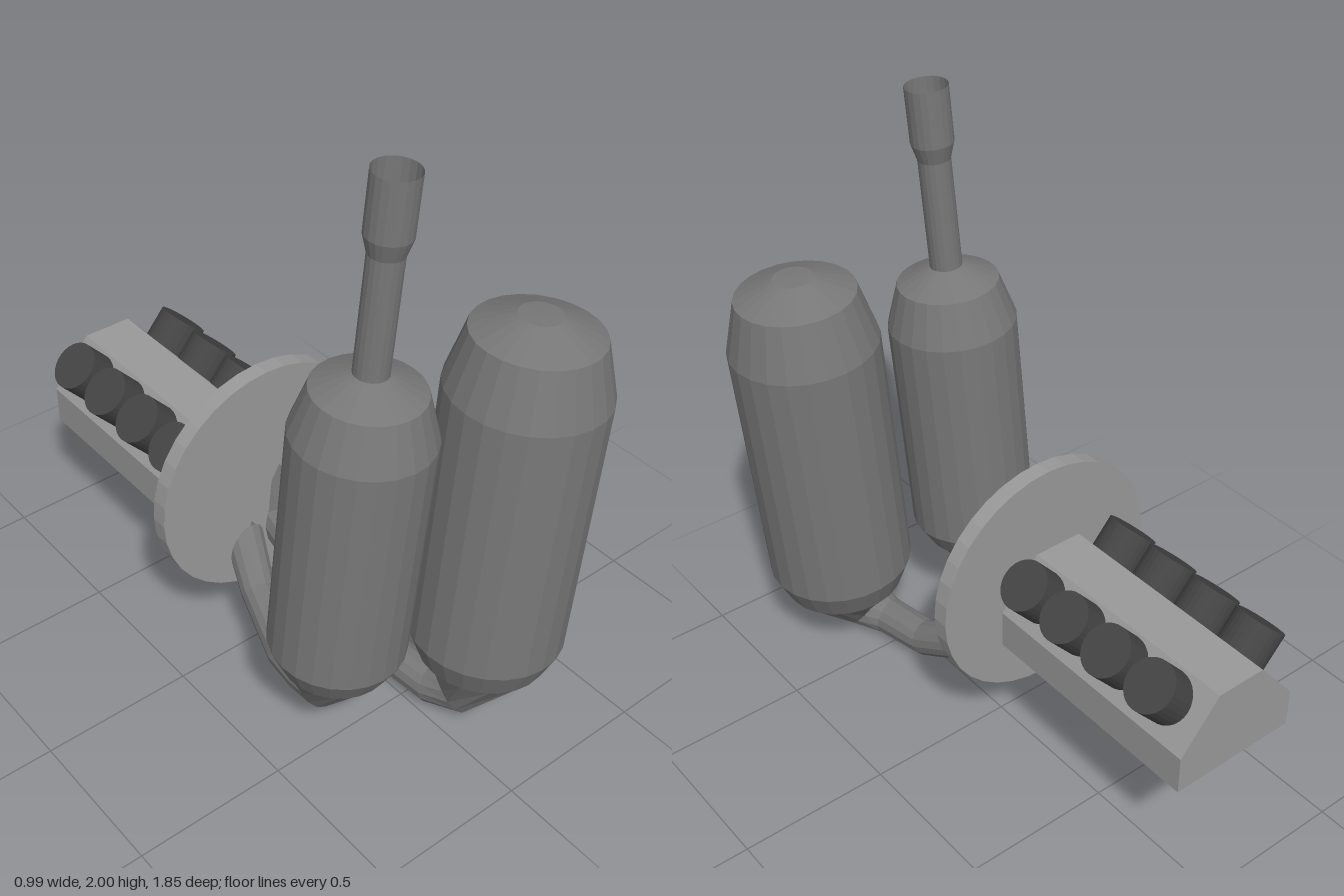
import * as THREE from 'three';

const V = (x, y, z) => new THREE.Vector3(x, y, z);
const UP = V(0, 1, 0);
const mat = (color) => new THREE.MeshStandardMaterial({ color, flatShading: true, side: THREE.DoubleSide });

function add(parent, name, geometry, material) {
  const mesh = new THREE.Mesh(geometry, material);
  mesh.name = name;
  parent.add(mesh);
  return mesh;
}

// Tube through [x, y, z, radius] stations, its rings carried along the bends
function pipeGeometry(stations, startDir, sides = 14) {
  const pts = stations.map(([x, y, z]) => V(x, y, z));
  const pos = [], index = [];
  const q = new THREE.Quaternion();
  let last = UP;
  pts.forEach((p, i) => {
    const into = i ? p.clone().sub(pts[i - 1]).normalize() : startDir.clone();
    const out = i < pts.length - 1 ? pts[i + 1].clone().sub(p).normalize() : into;
    const t = i ? into.add(out).normalize() : into;
    q.premultiply(new THREE.Quaternion().setFromUnitVectors(last, t));
    last = t;
    for (let j = 0; j < sides; j++) {
      const a = (j / sides) * Math.PI * 2, r = stations[i][3];
      pos.push(...V(Math.cos(a) * r, 0, Math.sin(a) * r).applyQuaternion(q).add(p));
      if (i) {
        const k = (j + 1) % sides, b = i * sides, c = b - sides;
        index.push(c + j, b + j, c + k, c + k, b + j, b + k);
      }
    }
  });
  const g = new THREE.BufferGeometry();
  g.setAttribute('position', new THREE.Float32BufferAttribute(pos, 3));
  g.setIndex(index);
  return g;
}

// Turned body whose axis leans along dir, starting at base
function leaningLathe(parent, name, profile, base, dir, material, sides) {
  const pts = profile.map(([r, y]) => new THREE.Vector2(r, y));
  const mesh = add(parent, name, new THREE.LatheGeometry(pts, sides), material);
  mesh.position.copy(base);
  mesh.quaternion.setFromUnitVectors(UP, dir);
}

export function createModel() {
  const model = new THREE.Group();
  const tankMat = mat(0x777777), plateMat = mat(0x999999), darkMat = mat(0x444444);

  // Large tank on the left with its funnel and pipe
  const bigDir = V(0.079, 1, 0.017).normalize();
  leaningLathe(model, 'largeTank',
    [[0, 0.24], [0.205, 0.24], [0.245, 0.335], [0.245, 1.22], [0.195, 1.4], [0.065, 1.455], [0, 1.458]],
    V(0.154, 0, 0.664), bigDir, tankMat, 24);
  add(model, 'largeTankPipe', pipeGeometry([
    [0.173, 0.24, 0.668, 0.203], [0.1, 0.085, 0.64, 0.085], [0.065, 0.066, 0.56, 0.066],
    [0.04, 0.08, 0.37, 0.063], [0.005, 0.19, 0.15, 0.062], [-0.015, 0.31, 0, 0.08],
    [-0.04, 0.43, -0.11, 0.085], [-0.06, 0.66, -0.14, 0.08],
  ], bigDir.clone().negate()), tankMat);

  // Small tank on the right with its funnel and pipe
  const smallDir = V(0.064, 1, 0.047).normalize();
  const smallBase = V(-0.301, 0, 0.481);
  leaningLathe(model, 'smallTank',
    [[0, 0.35], [0.17, 0.35], [0.211, 0.43], [0.211, 1.2], [0.165, 1.345], [0.05, 1.4], [0, 1.4]],
    smallBase, smallDir, tankMat, 24);
  add(model, 'smallTankPipe', pipeGeometry([
    [-0.279, 0.35, 0.497, 0.168], [-0.307, 0.225, 0.46, 0.075], [-0.31, 0.21, 0.39, 0.06],
    [-0.3, 0.21, 0.28, 0.057], [-0.225, 0.255, 0.05, 0.057],
    [-0.17, 0.4, -0.11, 0.065], [-0.15, 0.62, -0.14, 0.065],
  ], smallDir.clone().negate()), tankMat);

  // Open exhaust stack on the small tank
  leaningLathe(model, 'exhaustStack', [[0.052, 1.37], [0.052, 1.765], [0.068, 1.82], [0.068, 2.0]],
    smallBase, smallDir, tankMat, 20);

  // Round mounting plate
  const plate = add(model, 'mountingPlate', new THREE.CylinderGeometry(0.402, 0.402, 0.055, 36), plateMat);
  plate.rotation.x = Math.PI / 2;
  plate.position.set(-0.098, 0.602, -0.082);

  // Engine block with slanted shoulders
  const cx = -0.128;
  const section = new THREE.Shape([[-0.222, 0.425], [0.222, 0.425], [0.222, 0.555], [0.085, 0.72], [-0.085, 0.72], [-0.222, 0.555]]
    .map(([x, y]) => new THREE.Vector2(x, y)));
  const block = add(model, 'engineBlock',
    new THREE.ExtrudeGeometry(section, { depth: 0.8, bevelEnabled: false }), plateMat);
  block.position.set(cx, 0, -0.925);

  // Two banks of four cylinders
  const cylinders = new THREE.Group();
  cylinders.name = 'engineCylinders';
  model.add(cylinders);
  const barrel = new THREE.CylinderGeometry(0.083, 0.083, 0.2, 28);
  for (const s of [-1, 1]) {
    const dir = V(s * 0.66, 0.75, 0).normalize();
    for (let i = 0; i < 4; i++) {
      const c = add(cylinders, 'engineCylinder', barrel, darkMat);
      c.quaternion.setFromUnitVectors(UP, dir);
      c.position.set(cx + s * 0.222, 0.735, -0.228 - i * 0.185).addScaledVector(dir, -0.1);
    }
  }
  return model;
}
